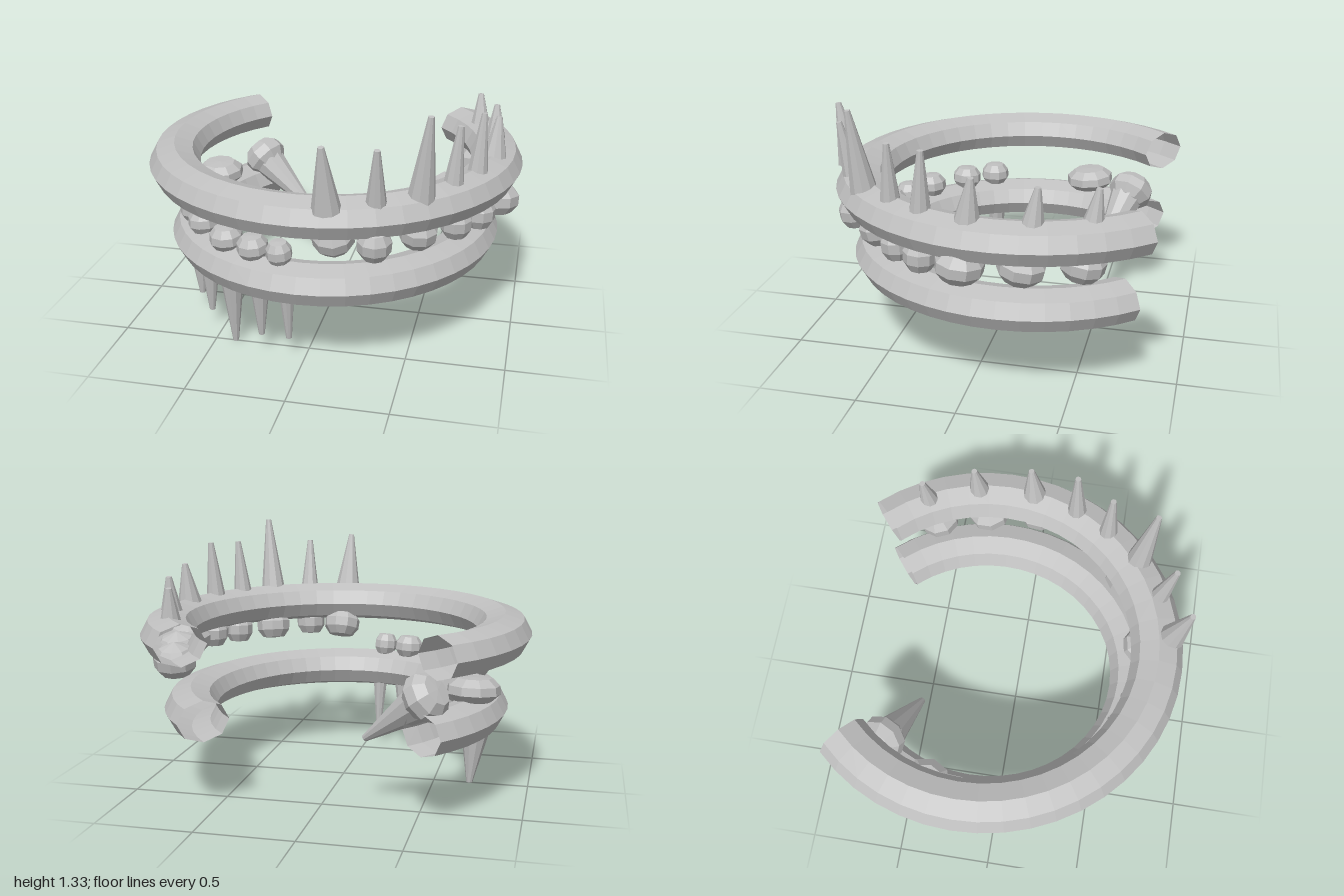
import * as THREE from 'three';

export function createModel() {
  const model = new THREE.Group();
  const grey = new THREE.MeshStandardMaterial({ color: 0xc0c0c0, flatShading: true, side: THREE.DoubleSide });
  grey.name = 'plain grey';
  const UP = new THREE.Vector3(0, 1, 0);

  function add(parent, name, geometry) {
    const mesh = new THREE.Mesh(geometry, grey);
    mesh.name = name;
    parent.add(mesh);
    return mesh;
  }

  // Jaw arch: an open eight-sided tube bent along an oval, slightly squashed in height
  function arch(name, y, a, b, zc) {
    const start = -Math.PI / 4, sweep = Math.PI * 1.5, points = [];
    for (let i = 0; i <= 48; i++) {
      const t = start + sweep * i / 48;
      points.push(new THREE.Vector3(a * Math.cos(t), 0, zc + b * Math.sin(t)));
    }
    const path = new THREE.CatmullRomCurve3(points);
    const mesh = add(model, name, new THREE.TubeGeometry(path, 36, 0.135, 8, false));
    mesh.scale.y = 0.105 / 0.135;
    mesh.position.y = y;
  }
  arch('upperJaw', 0.845, 0.865, 0.895, -0.16);
  arch('lowerJaw', 0.46, 0.755, 0.812, -0.152);

  // Crown profile: flat chewing face at +y, blunt point towards the root at -y
  const profile = [[0, -0.6], [0.7, -0.4], [1, -0.12], [0.97, 0.2], [0.65, 0.47], [0, 0.5]]
    .map(([r, y]) => new THREE.Vector2(r, y));

  // Tooth: crown plus tapered root running from base to tip
  function tooth(name, crown, crownR, crownH, base, baseR, tip, tipR = 0.015) {
    const group = new THREE.Group();
    group.name = name;
    const c = new THREE.Vector3(...crown), p = new THREE.Vector3(...base), q = new THREE.Vector3(...tip);
    const dir = q.clone().sub(p);
    const root = add(group, 'root', new THREE.CylinderGeometry(tipR, baseR, dir.length(), 10));
    root.position.copy(p).add(q).multiplyScalar(0.5);
    root.quaternion.setFromUnitVectors(UP, dir.clone().normalize());
    const top = add(group, 'crown', new THREE.LatheGeometry(profile, 9));
    top.scale.set(crownR, crownH, crownR);
    top.position.copy(c);
    top.quaternion.setFromUnitVectors(UP, c.clone().sub(q).normalize());
    model.add(group);
  }

  // Upper teeth: crown x, z, radius; root base x, z, radius; tip x, y, z
  [
    [0.16, 0.66, 0.105, 0.155, 0.79, 0.072, 0.145, 1.23, 0.85],
    [0.365, 0.70, 0.085, 0.37, 0.70, 0.052, 0.38, 1.20, 0.755],
    [0.545, 0.51, 0.097, 0.56, 0.57, 0.07, 0.60, 1.33, 0.62],
    [0.71, 0.36, 0.08, 0.69, 0.39, 0.053, 0.715, 1.22, 0.39],
    [0.81, 0.21, 0.083, 0.79, 0.21, 0.055, 0.81, 1.23, 0.195],
    [0.88, 0.0, 0.12, 0.855, -0.03, 0.068, 0.87, 1.14, -0.055],
    [0.83, -0.28, 0.118, 0.84, -0.33, 0.06, 0.84, 1.11, -0.355],
    [0.74, -0.55, 0.11, 0.74, -0.59, 0.055, 0.735, 1.09, -0.615],
  ].forEach(([cx, cz, cr, bx, bz, br, tx, ty, tz], i) =>
    tooth('upperTooth' + (i + 1), [cx, 0.72, cz], cr, 0.16, [bx, 0.91, bz], br, [tx, ty, tz]));

  // Lower teeth, same order of values
  [
    [-0.11, 0.65, 0.066, -0.085, 0.62, 0.042, -0.08, 0.11, 0.60],
    [-0.255, 0.61, 0.08, -0.23, 0.59, 0.052, -0.23, 0.10, 0.575],
    [-0.415, 0.53, 0.086, -0.40, 0.51, 0.064, -0.395, 0.0, 0.495],
    [-0.59, 0.36, 0.082, -0.56, 0.38, 0.054, -0.56, 0.10, 0.375],
    [-0.69, 0.21, 0.08, -0.685, 0.20, 0.056, -0.675, 0.10, 0.20],
    [-0.735, -0.36, 0.135, -0.75, -0.38, 0.07, -0.73, 0.14, -0.40],
  ].forEach(([cx, cz, cr, bx, bz, br, tx, ty, tz], i) =>
    tooth('lowerTooth' + (i + 1), [cx, 0.60, cz], cr, 0.13, [bx, 0.40, bz], br, [tx, ty, tz]));

  // Loose tooth lying inwards across the open end of the lower jaw
  tooth('tiltedTooth', [-0.535, 0.615, -0.625], 0.125, 0.17,
    [-0.50, 0.585, -0.605], 0.095, [-0.22, 0.36, -0.495], 0.018);

  return model;
}
